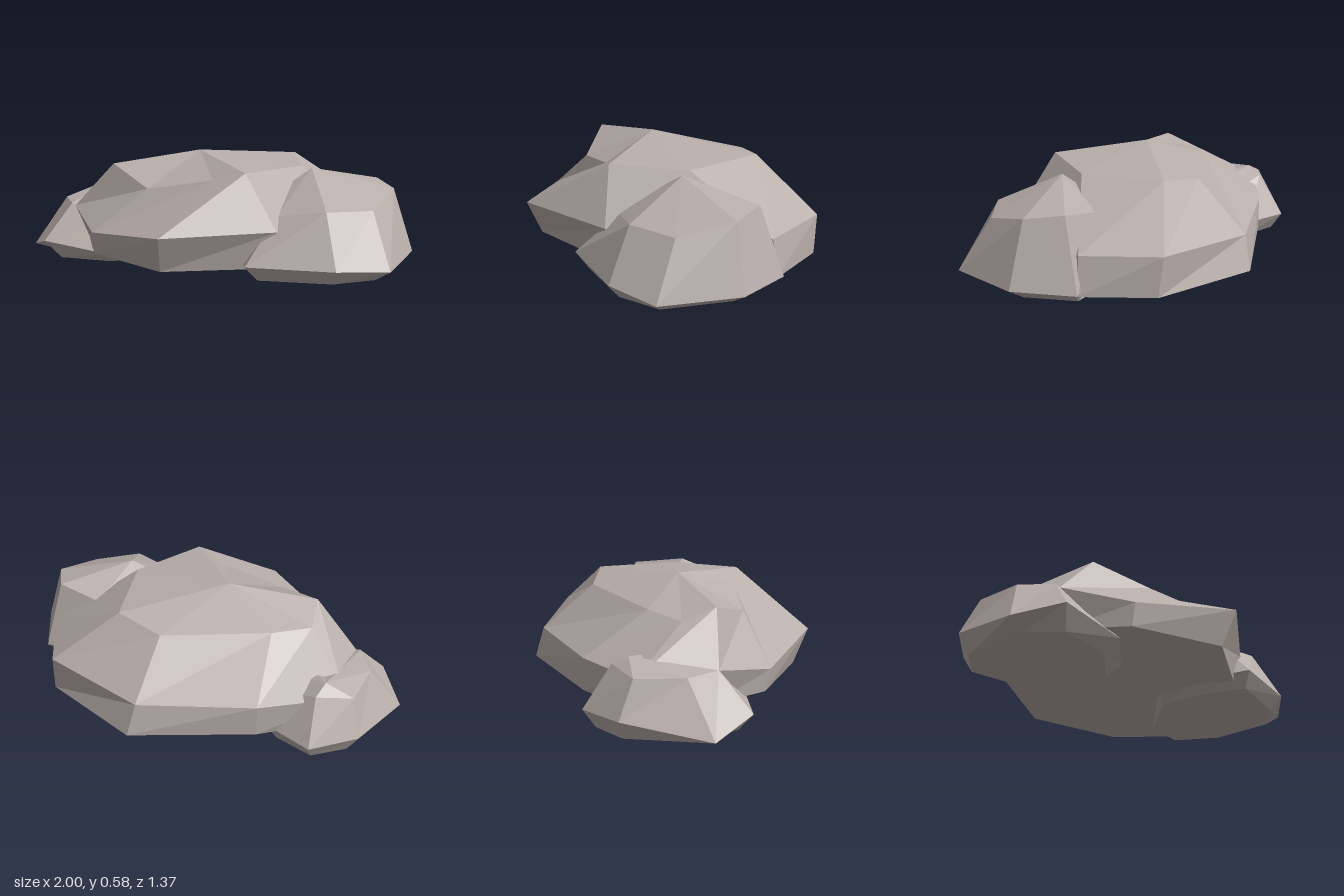
import * as THREE from 'three';

// Faceted boulder from stacked loops (bottom to top), closed by a flat base and a peak.
// Each loop runs front, +x side, back, -x side.
function boulder(loops, peak) {
  const pos = [];
  const tri = (a, b, c) => pos.push(...a, ...b, ...c);
  const n = loops[0].length;
  const base = [0, 1, 2].map((k) => loops[0].reduce((s, p) => s + p[k], 0) / n);
  const last = loops[loops.length - 1];
  for (let i = 0; i < n; i++) {
    const j = (i + 1) % n;
    tri(base, loops[0][j], loops[0][i]);
    for (let r = 0; r < loops.length - 1; r++) {
      const lo = loops[r], up = loops[r + 1];
      tri(lo[i], lo[j], up[j]);
      tri(lo[i], up[j], up[i]);
    }
    tri(peak, last[i], last[j]);
  }
  const geo = new THREE.BufferGeometry();
  geo.setAttribute('position', new THREE.Float32BufferAttribute(pos, 3));
  geo.computeVertexNormals();
  return geo;
}

// Lifts x, z pairs to a flat loop at height y
const flat = (y, pts) => pts.map(([x, z]) => [x, y, z]);

export function createModel() {
  const group = new THREE.Group();
  const stone = new THREE.MeshStandardMaterial({ color: 0xb8aeaa });
  stone.name = 'stone';
  stone.flatShading = true;

  const add = (name, loops, peak) => {
    const mesh = new THREE.Mesh(boulder(loops, peak), stone);
    mesh.name = name;
    group.add(mesh);
  };

  // Large central boulder
  add('mainBoulder', [
    flat(0.085, [[-0.24, 0.58], [0.3, 0.5], [0.89, -0.05], [0.77, -0.39], [0.31, -0.69],
      [-0.31, -0.57], [-0.69, -0.4], [-0.69, -0.05], [-0.6, 0.26]]),
    [[-0.24, 0.265, 0.66], [0.31, 0.27, 0.53], [0.86, 0.27, -0.04], [0.76, 0.28, -0.41], [0.27, 0.25, -0.65],
      [-0.31, 0.25, -0.57], [-0.72, 0.26, -0.43], [-0.75, 0.27, -0.04], [-0.61, 0.2, 0.28]],
    [[0, 0.48, 0.33], [0.16, 0.53, 0.41], [0.44, 0.52, 0.13], [0.43, 0.525, -0.29], [0.2, 0.485, -0.39],
      [-0.33, 0.47, -0.25], [-0.52, 0.45, -0.14], [-0.53, 0.51, 0.03], [-0.33, 0.42, 0.25]],
  ], [-0.08, 0.58, -0.01]);

  // Medium boulder at the front left
  add('frontBoulder', [
    flat(0.045, [[0.22, 0.57], [0.57, 0.62], [0.78, 0.54], [0.9, 0.22], [0.85, -0.03],
      [0.6, -0.08], [0.28, 0.1], [0.21, 0.33]]),
    [[0.16, 0.12, 0.61], [0.58, 0.12, 0.68], [0.84, 0.1, 0.6], [1, 0.11, 0.24], [0.92, 0.1, -0.06],
      [0.6, 0.1, -0.06], [0.2, 0.1, 0.1], [0.14, 0.1, 0.35]],
    [[0.31, 0.33, 0.45], [0.54, 0.37, 0.54], [0.77, 0.36, 0.45], [0.9, 0.425, 0.21], [0.84, 0.445, 0.03],
      [0.62, 0.4, -0.03], [0.42, 0.42, 0.08], [0.33, 0.42, 0.25]],
  ], [0.49, 0.525, 0.21]);

  // Low boulder at the back right
  add('backBoulder', [
    flat(0, [[-0.55, 0.1], [-0.28, 0], [-0.28, -0.3], [-0.4, -0.48], [-0.58, -0.58],
      [-0.75, -0.5], [-0.88, -0.15], [-0.82, 0.03]]),
    [[-0.55, 0.06, 0.18], [-0.21, 0.085, 0.05], [-0.2, 0.085, -0.3], [-0.35, 0.09, -0.5], [-0.57, 0.09, -0.64],
      [-0.8, 0.1, -0.53], [-1, 0.03, -0.15], [-0.9, 0.1, 0.07]],
    [[-0.55, 0.2, 0.05], [-0.35, 0.25, 0], [-0.35, 0.25, -0.25], [-0.45, 0.25, -0.42], [-0.58, 0.3, -0.5],
      [-0.76, 0.28, -0.45], [-0.83, 0.28, -0.22], [-0.77, 0.28, -0.05]],
  ], [-0.62, 0.34, -0.43]);

  return group;
}
